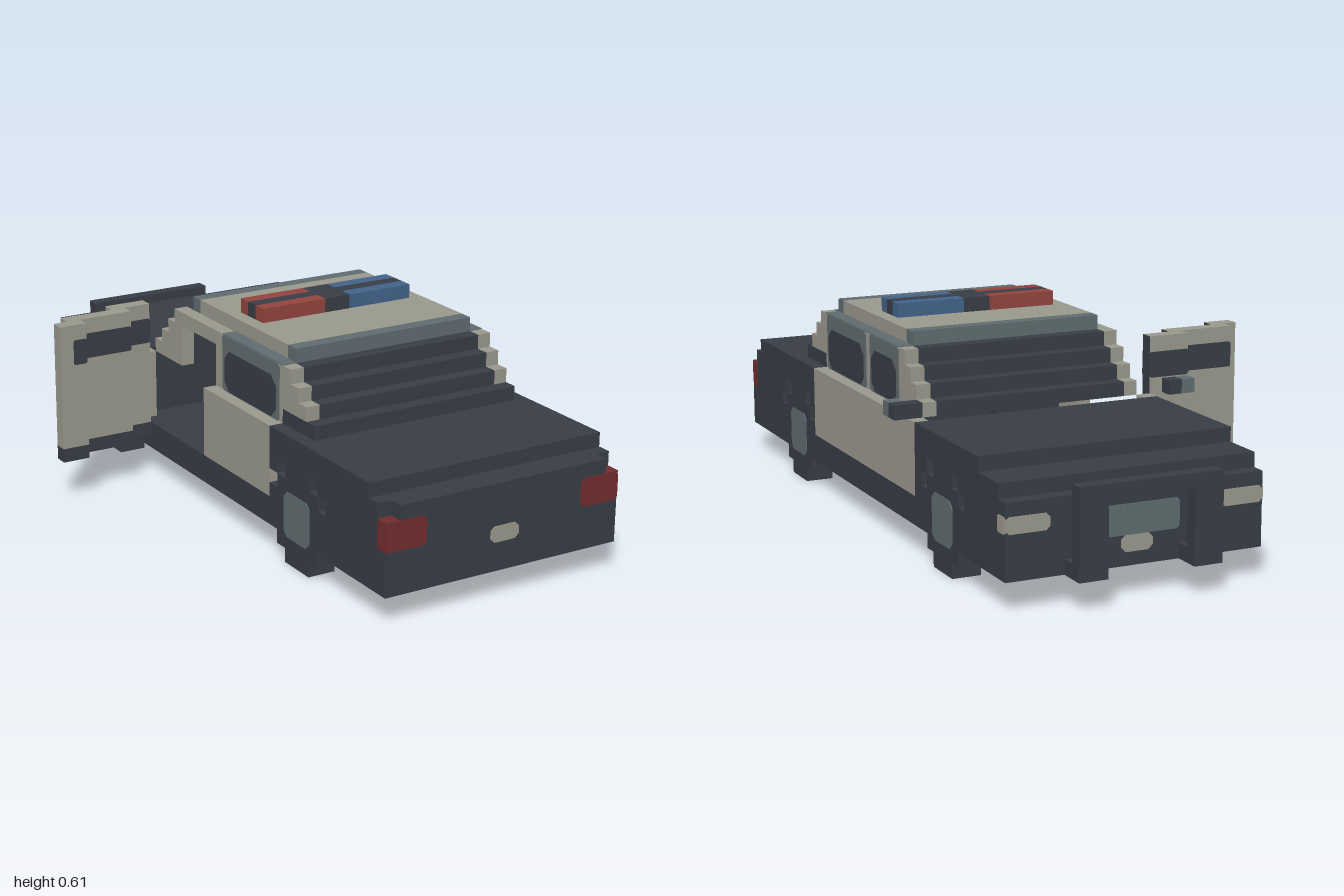
import * as THREE from 'three';

const V = 2 / 49; // one grid cell
const T = 0.12;   // thin plate, in cells

const mat = (name, color) => {
  const m = new THREE.MeshStandardMaterial({ color });
  m.name = name;
  return m;
};

export function createModel() {
  const car = new THREE.Group();
  car.name = 'patrolCar';
  const dark = mat('charcoal', 0x383d45);
  const tan = mat('warmGrey', 0x9a988d);
  const slate = mat('slate', 0x5f6c70);
  const red = mat('beaconRed', 0x92443e);
  const tailRed = mat('tailRed', 0x702d2f);
  const blue = mat('beaconBlue', 0x42638a);

  // Box spanning grid cells x0..x1, y0..y1, z0..z1
  const box = (name, m, x0, x1, y0, y1, z0, z1) => {
    const mesh = new THREE.Mesh(new THREE.BoxGeometry((x1 - x0) * V, (y1 - y0) * V, (z1 - z0) * V), m);
    mesh.position.set(((x0 + x1) / 2 - 13.5) * V, (y0 + y1) / 2 * V, ((z0 + z1) / 2 - 24.5) * V);
    mesh.name = name;
    car.add(mesh);
    return mesh;
  };
  // The same box on both sides of the car body (centred on x = 17)
  const pair = (name, m, x0, x1, ...rest) => {
    box(name + 'Left', m, x0, x1, ...rest);
    box(name + 'Right', m, 34 - x1, 34 - x0, ...rest);
  };
  // Thin plate with clipped corners; axis is the direction it faces
  const plate = (name, m, axis, at, u0, u1, y0, y1, c = 0.4) => {
    const s = new THREE.Shape([[u0 + c, y0], [u1 - c, y0], [u1, y0 + c], [u1, y1 - c],
      [u1 - c, y1], [u0 + c, y1], [u0, y1 - c], [u0, y0 + c]].map(p => new THREE.Vector2(...p)));
    const g = new THREE.ExtrudeGeometry(s, { depth: T, bevelEnabled: false });
    g.translate(0, 0, -T / 2);
    if (axis === 'x') g.rotateY(-Math.PI / 2).translate(at - 13.5, 0, -24.5);
    else g.translate(-13.5, 0, at - 24.5);
    g.scale(V, V, V);
    const mesh = new THREE.Mesh(g, m);
    mesh.name = name;
    car.add(mesh);
  };

  // Bonnet, boot and floor cores
  box('nose', dark, 8, 26, 2, 7, 2, 3);
  box('bonnetLip', dark, 10, 24, 2, 8, 3, 6);
  box('bonnet', dark, 10, 24, 2, 9, 6, 16);
  box('floor', dark, 8, 26, 2, 4, 16, 35);
  box('boot', dark, 10, 24, 2, 9, 35, 47);
  box('bootLip', dark, 9, 25, 2, 8, 47, 49);

  // Fenders with stepped arches, and wheels built from stacked rows
  pair('fenderNose', dark, 24, 26, 2, 8, 3, 6);
  pair('fenderFront', dark, 24, 26, 2, 9, 6, 8);
  pair('fenderDoorEdge', dark, 24, 26, 2, 9, 15, 16);
  pair('fenderRear', dark, 24, 26, 2, 9, 42, 47);
  pair('fenderTail', dark, 25, 26, 2, 8, 47, 48);
  pair('fenderTailCorner', dark, 25, 26, 2, 5, 48, 49);
  const rows = [[0, 1, 3], [1, 2, 5], [2, 5, 7], [5, 6, 5], [6, 7, 3]];
  for (const c of [11.5, 38.5]) {
    pair('archTop', dark, 24, 26, 7, 9, c - 3.5, c + 3.5);
    pair('archStepFront', dark, 24, 26, 6, 7, c - 3.5, c - 2.5);
    pair('archStepRear', dark, 24, 26, 6, 7, c + 2.5, c + 3.5);
    for (const [y0, y1, w] of rows) pair('wheel', dark, 24, 26, y0, y1, c - w / 2, c + w / 2);
    for (const x of [8, 26]) plate('hub', slate, 'x', x, c - 1.6, c + 1.6, 1.9, 5.1);
  }

  // Rear lights and plate
  pair('tailLightCorner', tailRed, 25, 26, 5, 7, 48, 49);
  for (const x of [8, 23]) plate('tailLight', tailRed, 'z', 49, x, x + 3, 5, 7, 0.25);
  plate('rearPlate', tan, 'z', 49, 15.9, 18.1, 4, 5.1, 0.3);

  // Nose details and push bar
  for (const x of [8, 23]) plate('headlight', tan, 'z', 2, x, x + 3, 5, 6.1, 0.25);
  for (const x of [8, 26]) plate('headlightSide', tan, 'x', x, 2, 3, 5, 6.1, 0.1);
  plate('grille', slate, 'z', 2, 14, 20, 4, 6, 0.2);
  plate('frontPlate', tan, 'z', 2, 15.9, 18.1, 2.9, 4, 0.3);
  box('pushBarTop', dark, 12, 22, 7, 8, 0, 1);
  pair('pushBarPost', dark, 20, 22, 2, 7, 0, 1);
  pair('pushBarMount', dark, 20, 22, 2, 3, 1, 2);

  // Door panels; the doorway on the -x side stays open
  box('sidePanelLeft', tan, 25, 26, 4, 9, 16, 35);
  box('rearDoorRight', tan, 8, 9, 4, 9, 26, 35);
  box('doorPostRight', tan, 8, 9, 4, 9, 16, 17);

  // Cabin walls
  box('cabinWallLeft', tan, 24, 25, 9, 13, 21, 35);
  box('cabinWallRight', tan, 9, 10, 9, 13, 26, 35);
  box('doorRailRight', tan, 9, 10, 12, 13, 21, 26);
  box('railTrimLeft', slate, 24, 25, 13, 13 + T / 2, 21, 35);
  box('railTrimRight', slate, 9, 10, 13, 13 + T / 2, 27, 35);

  // Side windows: slate frame with dark glass
  const sideWindow = (x, out, z0, z1) => {
    plate('windowFrame', slate, 'x', x, z0, z1, 9, 13, 0.2);
    plate('windowGlass', dark, 'x', x + out * 0.06, z0 + 0.4, z1 - 0.4, 9.1, 12, 0.6);
  };
  sideWindow(25, 1, 27, 34.6);
  sideWindow(25, 1, 21, 26.2);
  sideWindow(9, -1, 27, 34.6);

  // Stepped windscreen, rear window and their pillars
  for (let s = 0; s < 4; s++) {
    const top = 13 - s;
    box('windscreenStep', dark, 10, 24, top - 1, top, 20 - s, 22 - s);
    box('rearWindowStep', dark, 10, 24, top - 1, top, 34 + s, 36 + s);
    pair('frontPillar', tan, 24, 25, 9, top, 20 - s, 21 - s);
    if (s < 3) pair('rearPillar', tan, 24, 25, 10, top, 35 + s, 36 + s);
  }
  pair('rearPillarBase', dark, 24, 25, 9, 10, 35, 39);

  // Roof
  box('roof', tan, 10, 24, 13, 14, 22, 34);
  box('roofFrontTrim', slate, 10, 24, 13, 14, 21, 22);
  box('roofRearTrim', slate, 10, 24, 13, 14, 34, 35);

  // Light bar
  box('lightBarCore', dark, 11, 23, 14, 15, 27, 28);
  box('lightBarCentre', dark, 16, 18, 14, 15, 26, 29);
  for (const z of [26, 28]) {
    box('redBeacon', red, 11, 16, 14, 15, z, z + 1);
    box('blueBeacon', blue, 18, 23, 14, 15, z, z + 1);
  }

  // Seats
  pair('frontSeat', dark, 18, 23, 4, 6, 21, 26);
  pair('frontSeatBack', dark, 18, 23, 6, 10, 25, 26);
  box('rearSeat', dark, 10, 24, 4, 6, 30, 35);

  // Open door, swung outwards in three offset segments, with dark inner edges
  const edged = [dark, tan, tan, tan, tan, tan];
  for (const [x0, x1, z, w0] of [[5, 8, 17, 5], [1, 6, 18, 1], [0, 2, 19, 1]]) {
    box('openDoor', edged, x0, x1, 4, 13, z, z + 1);
    box('openDoorSill', dark, x0, x1, 3, 4, z, z + 1);
    for (const face of [z, z + 1]) plate('openDoorWindow', dark, 'z', face, w0, x1, 10.1, 11.9, 0.1);
  }

  // Mirrors
  box('mirrorArmLeft', dark, 25, 27, 9, 10, 17, 18);
  box('mirrorLeft', slate, 26, 27, 9, 10, 18, 19);
  box('mirrorArmRight', dark, 6, 7, 9, 10, 16, 17);
  box('mirrorRight', slate, 5, 6, 9, 10, 16, 17);

  return car;
}
